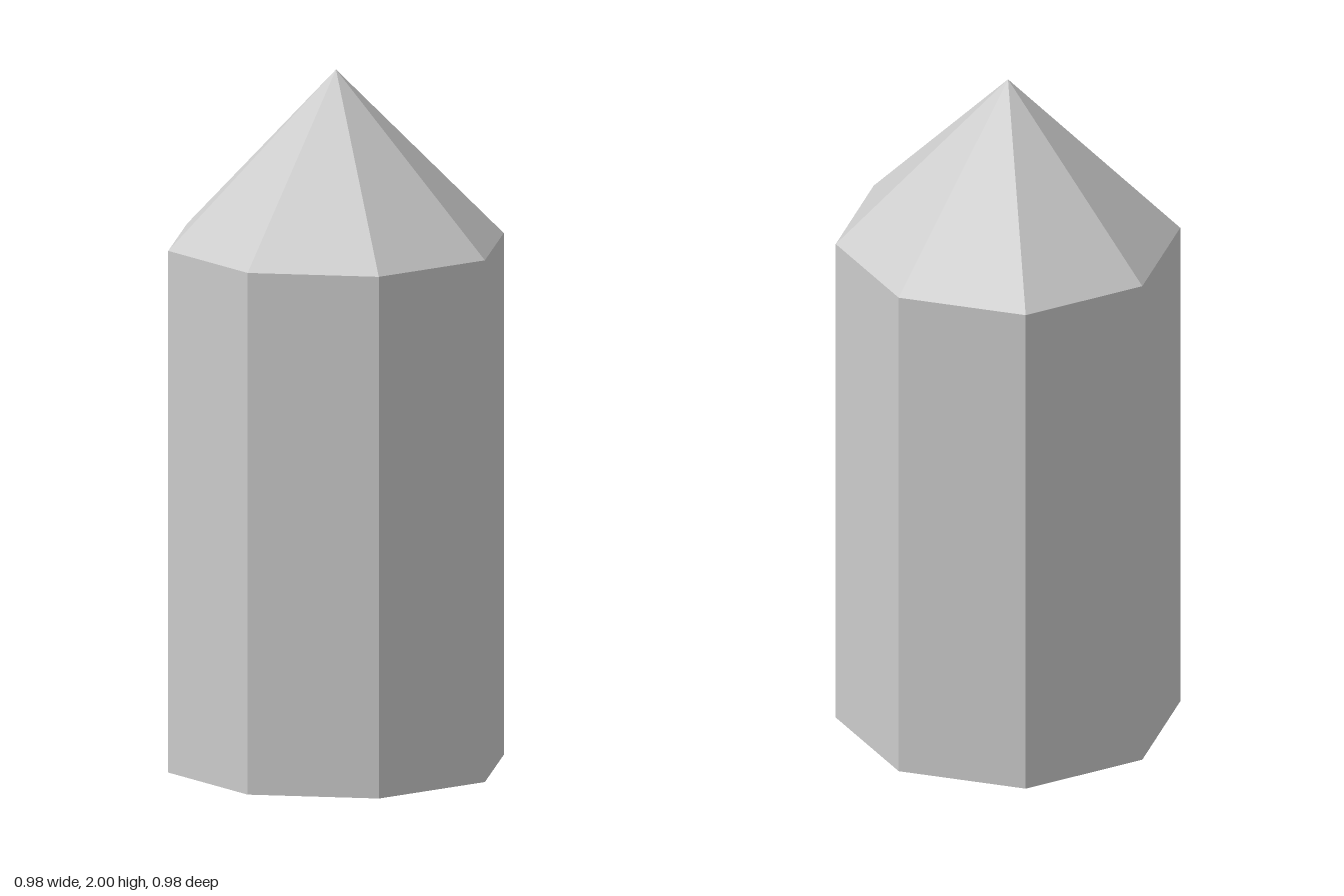
import * as THREE from 'three';

const SIDES = 8;
const RADIUS = 0.488;
const BODY_HEIGHT = 1.503;
const TIP_HEIGHT = 2 - BODY_HEIGHT;

export function createModel() {
  const model = new THREE.Group();
  model.name = 'crystal';
  const material = new THREE.MeshStandardMaterial({ color: 0xcccccc, flatShading: true });

  const add = (name, geometry, y) => {
    const mesh = new THREE.Mesh(geometry, material);
    mesh.name = name;
    mesh.position.y = y;
    model.add(mesh);
  };

  // Octagonal prism with corners on the x and z axes
  add('body', new THREE.CylinderGeometry(RADIUS, RADIUS, BODY_HEIGHT, SIDES), BODY_HEIGHT / 2);

  // Faceted point, open where it meets the body
  add('tip', new THREE.ConeGeometry(RADIUS, TIP_HEIGHT, SIDES, 1, true), BODY_HEIGHT + TIP_HEIGHT / 2);

  return model;
}
